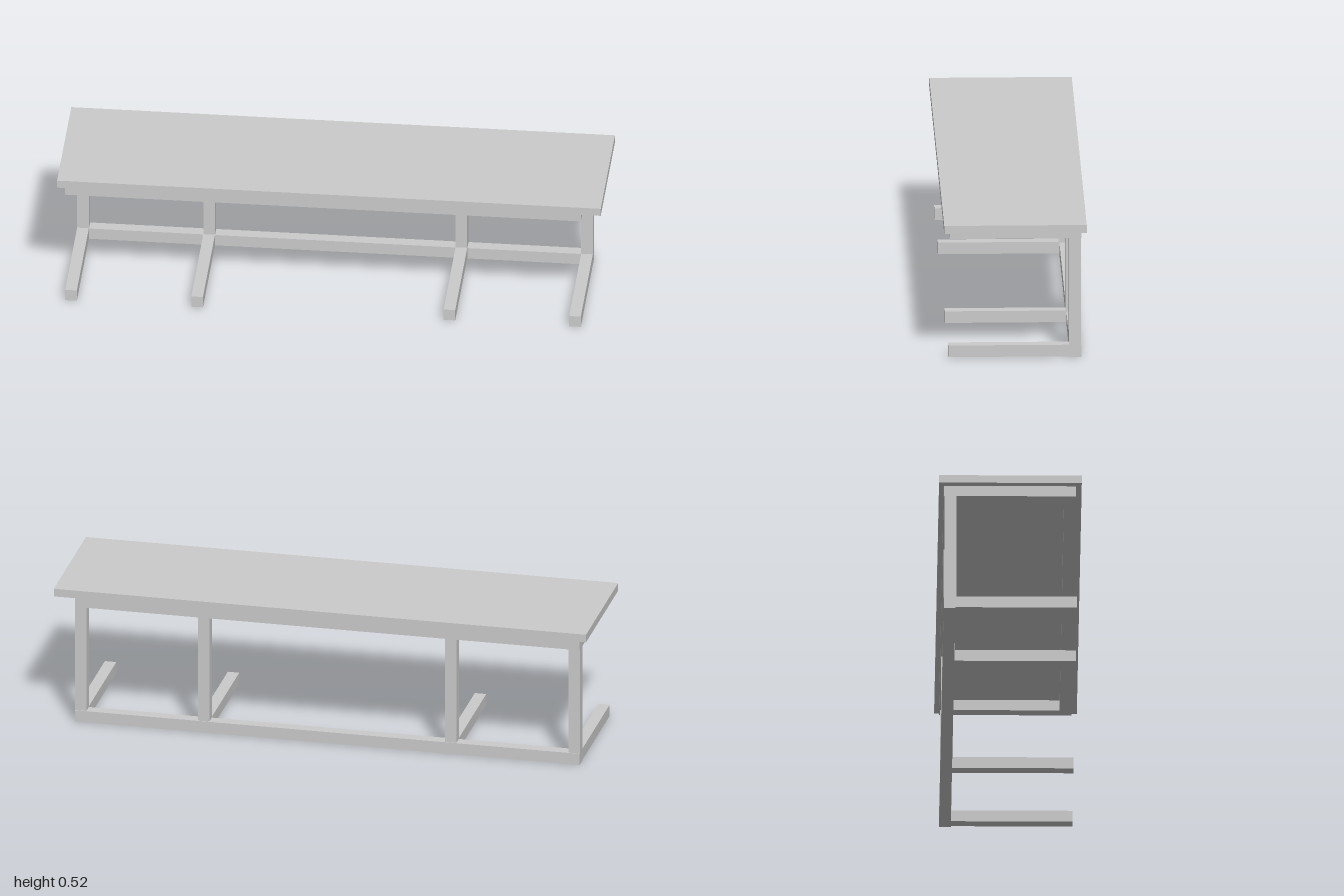
import * as THREE from 'three';

export function createModel() {
  const model = new THREE.Group();
  model.name = 'workbench';
  const material = new THREE.MeshStandardMaterial({ color: 0xcccccc, flatShading: true });

  // Box given by its extents on each axis
  function bar(name, [x0, x1], [y0, y1], [z0, z1]) {
    const mesh = new THREE.Mesh(new THREE.BoxGeometry(x1 - x0, y1 - y0, z1 - z0), material);
    mesh.position.set((x0 + x1) / 2, (y0 + y1) / 2, (z0 + z1) / 2);
    mesh.name = name;
    model.add(mesh);
  }

  const tube = 0.043;
  const left = 0.925, right = -0.972;
  const back = -0.244, front = 0.24;
  const frameY = [0.452, 0.493];

  // Table top
  bar('tableTop', [-1, 1], [0.493, 0.523], [-0.261, 0.261]);

  // Rectangular frame under the top
  bar('backTopRail', [right, left], frameY, [back, back + tube]);
  bar('frontTopRail', [right, left], frameY, [front - tube, front]);
  for (const x of [right, left - tube]) {
    bar('sideTopRail', [x, x + tube], frameY, [back + tube, front - tube]);
  }

  // Long rail on the floor at the back
  bar('baseRail', [right, left], [0, 0.044], [back, back + tube]);

  // Rear posts, each with a foot reaching forward
  for (const x of [right, -0.508, 0.42, left - tube]) {
    bar('post', [x, x + tube], [0.044, 0.452], [-0.241, -0.198]);
    bar('foot', [x, x + tube], [0.003, 0.047], [-0.201, 0.244]);
  }
  return model;
}
